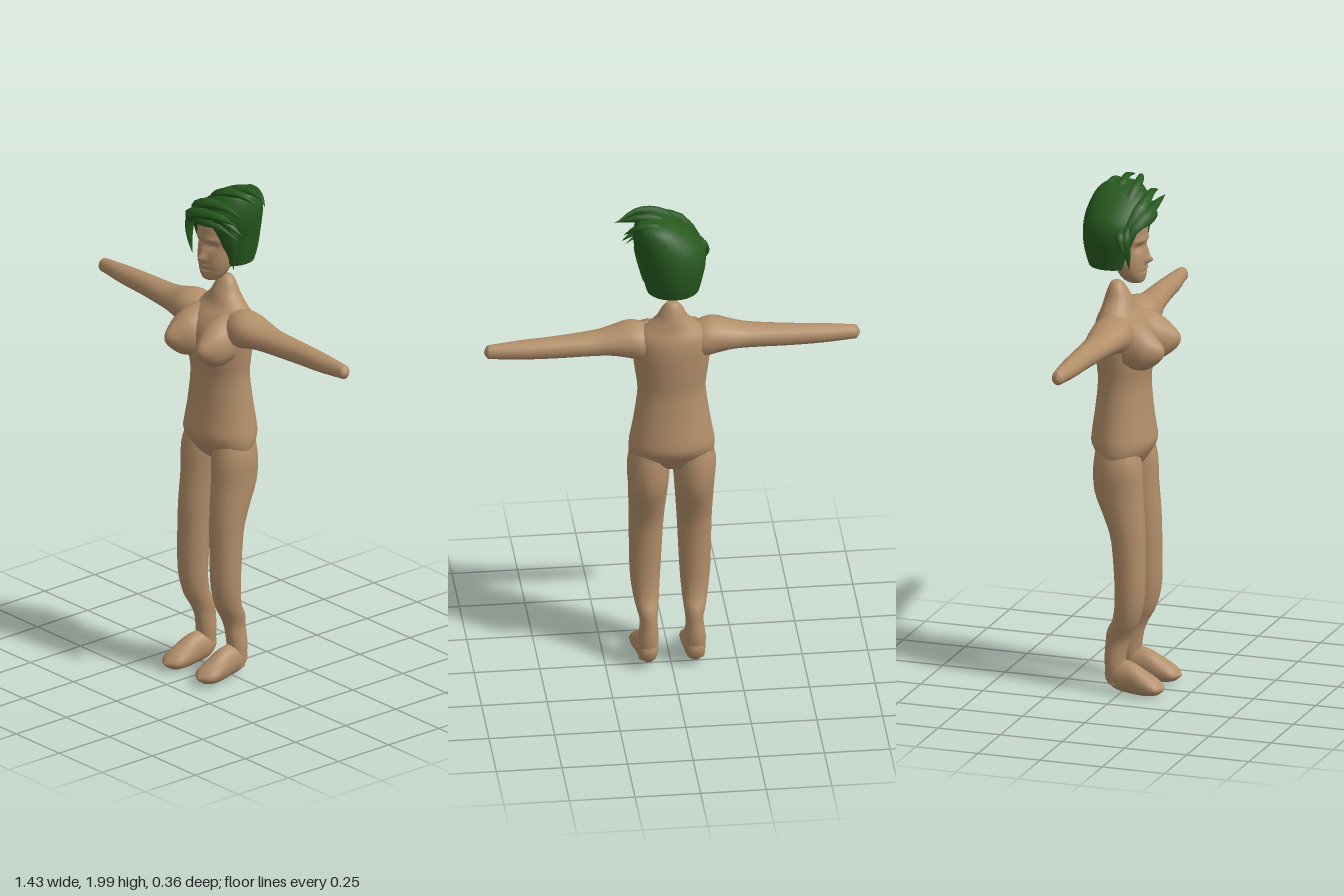
import * as THREE from 'three';

const skin = new THREE.MeshStandardMaterial({ color: 0xb38f6a });
skin.name = 'skin';
const green = new THREE.MeshStandardMaterial({ color: 0x27591f, side: THREE.DoubleSide });
green.name = 'hairGreen';

// Catmull-Rom blend of cross-sections, k steps between each pair
function resample(s, k) {
  const out = [];
  for (let i = 0; i < s.length - 1; i++) {
    const p0 = s[Math.max(i - 1, 0)], p1 = s[i], p2 = s[i + 1], p3 = s[Math.min(i + 2, s.length - 1)];
    for (let j = 0; j < k; j++) {
      const t = j / k;
      out.push(p1.map((b, c) => {
        const a = p0[c], d = p2[c], e = p3[c];
        const v = 0.5 * (2 * b + (d - a) * t + (2 * a - 5 * b + 4 * d - e) * t * t + (3 * b - a - 3 * d + e) * t * t * t);
        return c > 2 ? Math.max(v, 0) : v;
      }));
    }
  }
  out.push(s[s.length - 1]);
  return out;
}

// Loft of ellipses [x, y, z, half, half] running along +axis; halves are
// (x,z) for axis y, (y,z) for axis x, (x,y) for axis z
function loft(sections, axis, n = 16, k = 3, rule = null) {
  const rings = resample(sections, k), pos = [], idx = [];
  for (const [x, y, z, a, b] of rings) {
    for (let j = 0; j < n; j++) {
      const c = Math.cos(j / n * Math.PI * 2), s = Math.sin(j / n * Math.PI * 2);
      const p = axis === 'y' ? [x + a * s, y, z + b * c]
        : axis === 'x' ? [x, y + a * c, z + b * s]
          : [x + a * c, y + b * s, z];
      pos.push(...(rule ? rule(p) : p));
    }
  }
  for (let i = 0; i < rings.length - 1; i++) {
    for (let j = 0; j < n; j++) {
      const a = i * n + j, b = i * n + (j + 1) % n;
      idx.push(a, b, b + n, a, b + n, a + n);
    }
  }
  const g = new THREE.BufferGeometry();
  g.setAttribute('position', new THREE.Float32BufferAttribute(pos, 3));
  g.setIndex(idx);
  g.computeVertexNormals();
  return g;
}

// Same sections on the other side of the body
function mirror(sections, axis) {
  const m = sections.map(([x, ...r]) => [-x, ...r]);
  return axis === 'x' ? m.reverse() : m;
}

// Tapered lock of hair along a curve
function lock(points, r) {
  const curve = new THREE.CatmullRomCurve3(points.map(p => new THREE.Vector3(...p)));
  const n = 10, m = 6, g = new THREE.TubeGeometry(curve, n, r, m);
  const p = g.attributes.position, v = new THREE.Vector3();
  for (let i = 0; i <= n; i++) {
    const c = curve.getPointAt(i / n), size = Math.min(1, 0.35 + i * 0.25) * (1 - Math.pow(i / n, 1.7));
    for (let j = 0; j <= m; j++) {
      const q = i * (m + 1) + j;
      v.fromBufferAttribute(p, q).lerp(c, 1 - size);
      p.setXYZ(q, v.x, v.y, v.z);
    }
  }
  g.computeVertexNormals();
  return g;
}

// Soft bump used to shape the face
const bump = (x, y, cx, cy, sx, sy) => Math.exp(-(((x - cx) / sx) ** 2) - ((y - cy) / sy) ** 2);

function face([x, y, z]) {
  if (z > 0) {
    const ax = Math.abs(x);
    z += 0.024 * bump(x, y, 0, 1.705, 0.013, 0.014) + 0.014 * bump(x, y, 0, 1.735, 0.01, 0.03)
      - 0.014 * bump(ax, y, 0.036, 1.757, 0.018, 0.013)
      + 0.007 * bump(ax, y, 0.034, 1.785, 0.03, 0.01)
      + 0.008 * bump(x, y, 0, 1.672, 0.022, 0.007)
      - 0.005 * bump(x, y, 0, 1.66, 0.03, 0.004)
      + 0.006 * bump(x, y, 0, 1.652, 0.02, 0.006);
  }
  return [x, y, z];
}

// Lift the lower front of the hair to open it around the face
function hairline([x, y, z]) {
  const edge = THREE.MathUtils.clamp(1.68 + z * 2.8, 1.67, 1.85);
  return [x, Math.max(y, edge), z];
}

export function createModel() {
  const model = new THREE.Group();
  model.name = 'figure';
  const add = (name, geometry, material = skin, parent = model) => {
    const mesh = new THREE.Mesh(geometry, material);
    mesh.name = name;
    parent.add(mesh);
  };
  const pair = (name, sections, axis, n) => {
    add('left' + name, loft(sections, axis, n));
    add('right' + name, loft(mirror(sections, axis), axis, n));
  };

  // Trunk from crotch to neck
  add('torso', loft([
    [0, 0.86, -0.015, 0, 0], [0, 0.89, -0.015, 0.09, 0.06], [0, 0.93, -0.015, 0.155, 0.09],
    [0, 0.98, -0.018, 0.164, 0.12], [0, 1.03, -0.02, 0.157, 0.118], [0, 1.1, -0.02, 0.145, 0.108],
    [0, 1.22, -0.018, 0.13, 0.098], [0, 1.3, -0.016, 0.139, 0.106], [0, 1.4, -0.018, 0.15, 0.11],
    [0, 1.46, -0.03, 0.145, 0.092], [0, 1.5, -0.04, 0.105, 0.066], [0, 1.54, -0.043, 0.062, 0.053],
    [0, 1.58, -0.047, 0.042, 0.036], [0, 1.605, -0.05, 0.022, 0.02], [0, 1.61, -0.05, 0, 0],
  ], 'y', 24));

  // Chest
  pair('Chest', [
    [0.075, 1.39, 0.02, 0.075, 0.1], [0.08, 1.375, 0.09, 0.071, 0.086],
    [0.088, 1.37, 0.135, 0.046, 0.055], [0.092, 1.37, 0.165, 0.02, 0.025], [0.092, 1.37, 0.174, 0, 0],
  ], 'z', 16);

  // Arms
  pair('Arm', [
    [0.06, 1.42, -0.025, 0.06, 0.06], [0.12, 1.432, -0.02, 0.074, 0.08], [0.17, 1.438, -0.015, 0.07, 0.082],
    [0.23, 1.436, -0.018, 0.055, 0.072], [0.3, 1.431, -0.022, 0.047, 0.058], [0.45, 1.428, -0.032, 0.042, 0.044],
    [0.57, 1.427, -0.035, 0.037, 0.038], [0.68, 1.427, -0.038, 0.029, 0.025],
    [0.705, 1.426, -0.037, 0.024, 0.021], [0.717, 1.424, -0.035, 0, 0],
  ], 'x', 14);

  // Legs
  pair('Leg', [
    [0.092, 0.04, -0.02, 0.034, 0.03], [0.09, 0.12, -0.025, 0.04, 0.04], [0.087, 0.2, -0.017, 0.034, 0.046],
    [0.09, 0.25, -0.003, 0.042, 0.052], [0.093, 0.3, 0.022, 0.05, 0.053], [0.095, 0.4, 0.037, 0.059, 0.058],
    [0.092, 0.6, 0.03, 0.066, 0.065], [0.09, 0.7, 0.013, 0.071, 0.079], [0.088, 0.8, -0.01, 0.077, 0.095],
    [0.087, 0.9, -0.015, 0.083, 0.095], [0.082, 0.98, -0.02, 0.07, 0.08],
  ], 'y', 16);

  // Feet
  pair('Foot', [
    [0.09, 0.08, -0.064, 0, 0], [0.09, 0.08, -0.055, 0.027, 0.035], [0.09, 0.075, -0.02, 0.04, 0.058],
    [0.092, 0.068, 0.04, 0.044, 0.062], [0.095, 0.05, 0.1, 0.05, 0.047],
    [0.096, 0.038, 0.15, 0.044, 0.026], [0.096, 0.036, 0.178, 0, 0],
  ], 'z', 14);

  // Head with sculpted face
  add('head', loft([
    [0, 1.61, 0.025, 0, 0], [0, 1.613, 0.025, 0.028, 0.028], [0, 1.63, 0.018, 0.048, 0.046],
    [0, 1.66, 0.01, 0.066, 0.056], [0, 1.7, 0, 0.077, 0.068], [0, 1.76, -0.02, 0.084, 0.085],
    [0, 1.8, -0.026, 0.086, 0.096], [0, 1.86, -0.03, 0.084, 0.094], [0, 1.92, -0.03, 0.058, 0.065],
    [0, 1.945, -0.03, 0, 0],
  ], 'y', 56, 6, face));

  // Hair: cap leaning to the left, plus swept locks
  const hair = new THREE.Group();
  hair.name = 'hair';
  model.add(hair);
  add('hairCap', loft([
    [0, 1.675, -0.062, 0.1, 0.094], [0, 1.73, -0.06, 0.114, 0.112], [0, 1.79, -0.053, 0.126, 0.127],
    [0.01, 1.85, -0.048, 0.132, 0.13], [0.032, 1.9, -0.048, 0.118, 0.12], [0.06, 1.95, -0.052, 0.084, 0.095],
    [0.078, 1.975, -0.05, 0.05, 0.06], [0.085, 1.982, -0.05, 0, 0],
  ], 'y', 28, 4, hairline), green, hair);
  const locks = [
    // fringe sweeping across the forehead
    [[[-0.12, 1.81, 0.03], [-0.06, 1.87, 0.07], [0.06, 1.9, 0.08], [0.21, 1.9, 0.07]], 0.03],
    [[[-0.11, 1.83, 0.02], [-0.03, 1.91, 0.055], [0.09, 1.94, 0.055], [0.215, 1.915, 0.04]], 0.03],
    [[[-0.09, 1.84, 0.04], [0, 1.86, 0.075], [0.09, 1.86, 0.07], [0.17, 1.82, 0.04]], 0.025],
    [[[0.02, 1.88, 0.06], [0.1, 1.89, 0.06], [0.15, 1.86, 0.04], [0.185, 1.84, 0.03]], 0.025],
    // crown spikes
    [[[-0.04, 1.91, 0], [0.05, 1.97, 0.01], [0.13, 1.985, 0], [0.215, 1.955, -0.03]], 0.026],
    [[[0, 1.93, -0.05], [0.07, 1.975, -0.05], [0.14, 1.985, -0.055], [0.21, 1.97, -0.05]], 0.024],
    [[[0.02, 1.94, -0.1], [0.08, 1.965, -0.1], [0.14, 1.965, -0.095], [0.19, 1.93, -0.08]], 0.024],
    // side locks framing the face
    [[[-0.1, 1.85, 0.03], [-0.122, 1.8, 0.03], [-0.115, 1.74, 0.035], [-0.1, 1.685, 0.035]], 0.022],
    [[[-0.11, 1.84, 0], [-0.13, 1.81, 0.01], [-0.138, 1.78, 0.02], [-0.135, 1.75, 0.03]], 0.02],
    [[[0.12, 1.87, 0.02], [0.12, 1.8, 0.02], [0.112, 1.73, 0.015], [0.105, 1.67, 0.005]], 0.024],
  ];
  locks.forEach(([pts, r], i) => add('hairLock' + (i + 1), lock(pts, r), green, hair));

  return model;
}
